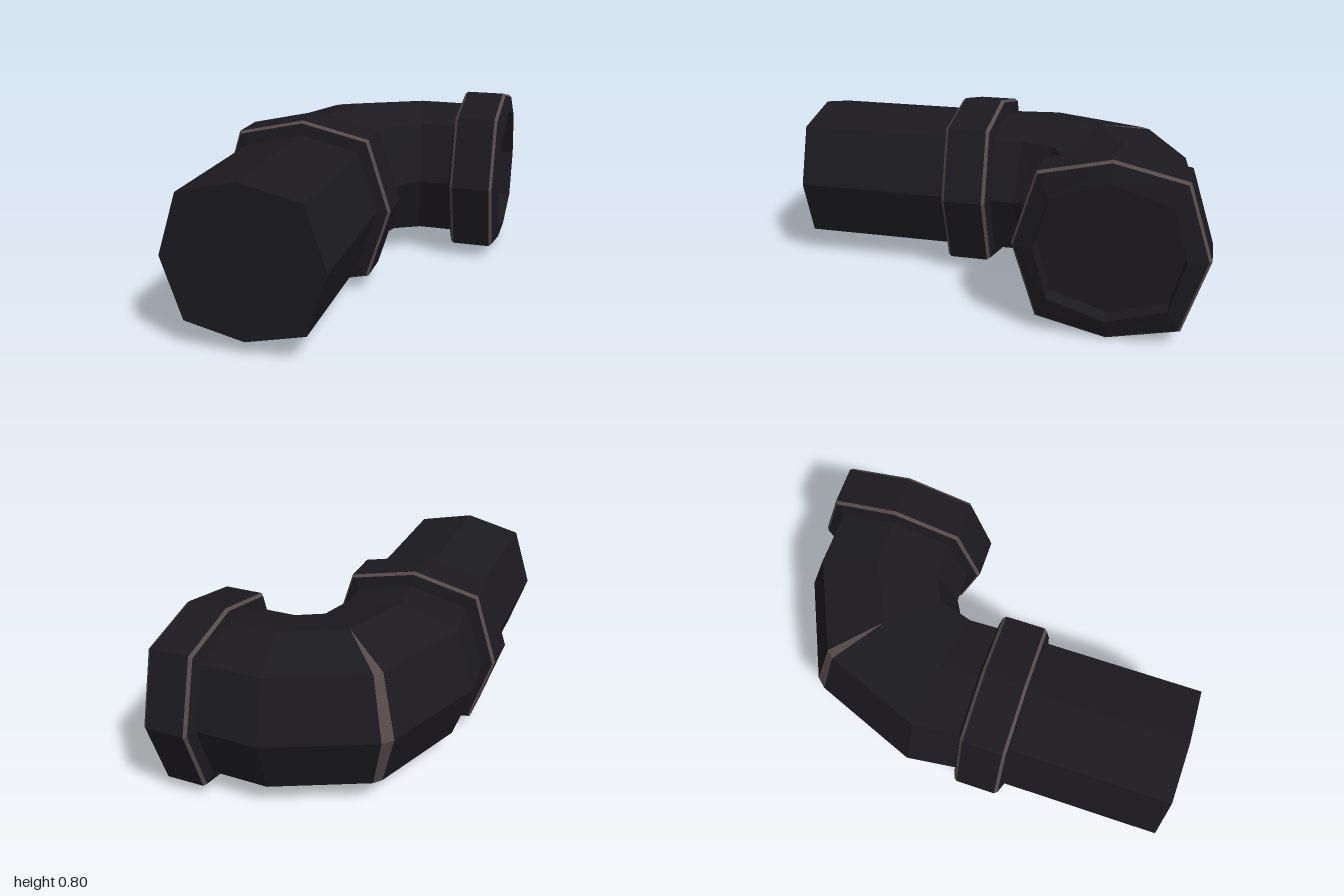
import * as THREE from 'three';

const Y = 0.402; // height of the pipe axis
// Eight-sided section, as [lateral, vertical]; lateral +1 is the outside of the bend
const octagon = (w, dw, dh, h) => [
  [w, 0], [dw, dh], [0, h], [-dw, dh], [-w, 0], [-dw, -dh], [0, -h], [dw, -dh],
];
const PIPE = octagon(0.355, 0.265, 0.275, 0.337);
const COLLAR = octagon(0.415, 0.31, 0.33, 0.4);
const BEVEL = COLLAR.map(([u, v]) => [u * 0.972, v * 0.972]);
const MOUTH = octagon(0.318, 0.255, 0.228, 0.308);

// Rings across the front leg (runs along z) and across the side leg (runs along x)
const frontRing = (z, s) => s.map(([u, v]) => new THREE.Vector3(-0.215 - u, Y + v, z));
const sideRing = (x, s) => s.map(([u, v]) => new THREE.Vector3(x, Y + v, -0.585 - u));

// Ring between an outer and an inner point of the bend; slip splits its outer half for the bevel
function bendRing(ox, oz, ix, iz, slip = 0) {
  return PIPE.map(([u, v]) => {
    const t = u / 0.355, k = Math.max(0, t) * slip;
    return new THREE.Vector3(
      (ox + ix) / 2 + (ox - ix) / 2 * t + k * 0.7, Y + v,
      (oz + iz) / 2 + (oz - iz) / 2 * t - k * 0.8);
  });
}

// Skin joining successive rings, with optional flat ends
function loft(rings, capStart = false, capEnd = false) {
  const pos = [];
  const tri = (a, b, c) => {
    const area = b.clone().sub(a).cross(c.clone().sub(a)).length();
    if (area > 1e-7) for (const p of [a, b, c]) pos.push(p.x, p.y, p.z);
  };
  for (let i = 0; i < rings.length - 1; i++) {
    for (let k = 0; k < 8; k++) {
      const n = (k + 1) % 8, a = rings[i], b = rings[i + 1];
      tri(a[k], a[n], b[n]);
      tri(a[k], b[n], b[k]);
    }
  }
  const first = rings[0], last = rings[rings.length - 1];
  for (let k = 1; k < 7; k++) {
    if (capStart) tri(first[0], first[k + 1], first[k]);
    if (capEnd) tri(last[0], last[k], last[k + 1]);
  }
  const g = new THREE.BufferGeometry();
  g.setAttribute('position', new THREE.Float32BufferAttribute(pos, 3));
  g.computeVertexNormals();
  return g;
}

export function createModel() {
  const model = new THREE.Group();
  const dark = new THREE.MeshStandardMaterial({ color: 0x1c1a1f, flatShading: true });
  const worn = new THREE.MeshStandardMaterial({ color: 0x564a4a, flatShading: true });
  const add = (parent, name, geometry, material = dark) => {
    const mesh = new THREE.Mesh(geometry, material);
    mesh.name = name;
    parent.add(mesh);
  };

  // Straight pipe with a closed front end
  add(model, 'straightPipe', loft([frontRing(1, PIPE), frontRing(0.05, PIPE)], true));

  // Elbow in two halves, joined by a bevel on the outer corner
  const cornerA = bendRing(-0.385, -0.71, 0.165, -0.19, -0.028);
  const cornerB = bendRing(-0.385, -0.71, 0.165, -0.19, 0.028);
  add(model, 'elbowFrontHalf', loft([
    frontRing(0.05, PIPE), bendRing(-0.6, -0.19, 0.14, -0.08), cornerA]));
  add(model, 'elbowCornerBevel', loft([cornerA, cornerB]), worn);
  add(model, 'elbowSideHalf', loft([
    cornerB, bendRing(0.095, -0.945, 0.235, -0.23), sideRing(0.4, PIPE)]));

  // Collar: shoulder, worn bevel, band, worn bevel, then the far end rings
  function collar(name, ring, [p0, p1, p2, p3, p4], ends, closed) {
    const group = new THREE.Group();
    group.name = name;
    add(group, 'shoulder', loft([ring(p0, PIPE), ring(p1, BEVEL)]));
    add(group, 'nearBevel', loft([ring(p1, BEVEL), ring(p2, COLLAR)]), worn);
    add(group, 'band', loft([ring(p2, COLLAR), ring(p3, COLLAR)]));
    add(group, 'farBevel', loft([ring(p3, COLLAR), ring(p4, BEVEL)]), worn);
    add(group, 'rim', loft([ring(p4, BEVEL), ...ends], false, closed));
    model.add(group);
  }
  collar('middleCollar', frontRing, [0.272, 0.262, 0.248, 0.066, 0.051],
    [frontRing(0.037, PIPE)], false);
  // The open end has a shallow recess
  collar('mouthCollar', sideRing, [0.38, 0.394, 0.408, 0.588, 0.602],
    [sideRing(0.625, MOUTH), sideRing(0.535, MOUTH)], true);

  return model;
}
